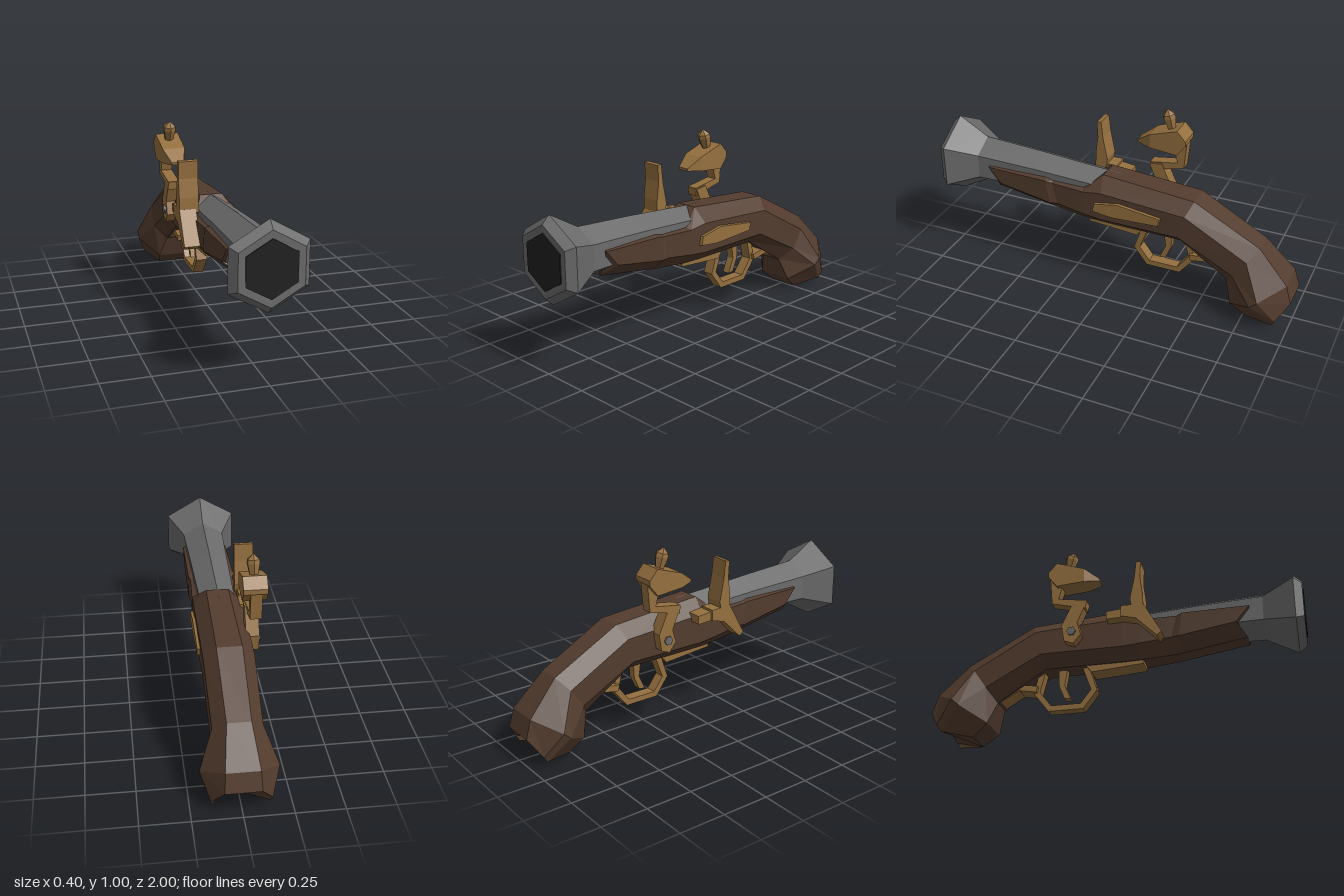
import * as THREE from 'three';

const mat = (color, side = THREE.FrontSide) =>
  new THREE.MeshStandardMaterial({ color, flatShading: true, side });
const wood = mat(0x533c2e), brass = mat(0x95703f), steel = mat(0x6b6b6b), dark = mat(0x202020);

// Skin rings (counter-clockwise seen from +z, listed front to back) and cap both ends
function loft(rings) {
  const n = rings[0].length, index = [];
  rings.slice(1).forEach((_, r) => {
    for (let i = 0; i < n; i++) {
      const j = (i + 1) % n, a = r * n, b = a + n;
      index.push(a + i, b + i, b + j, a + i, b + j, a + j);
    }
  });
  const last = (rings.length - 1) * n;
  for (let i = 1; i < n - 1; i++) {
    index.push(0, i, i + 1, last, last + i + 1, last + i);
  }
  const geo = new THREE.BufferGeometry();
  geo.setAttribute('position', new THREE.Float32BufferAttribute(rings.flat(2), 3));
  geo.setIndex(index);
  const flat = geo.toNonIndexed();
  flat.computeVertexNormals();
  return flat;
}

// Side outline of [z, y] points, given thickness between x0 and x1
function slab(points, x0, x1) {
  const shape = new THREE.Shape(points.map(([z, y]) => new THREE.Vector2(z, y)));
  return new THREE.ExtrudeGeometry(shape, { depth: x1 - x0, bevelEnabled: false })
    .rotateY(-Math.PI / 2).translate(x1, 0, 0);
}

// Flat bar of constant thickness following a [z, y] path
function bar(path, thick, x0, x1) {
  const p = path.map(([z, y]) => new THREE.Vector2(z, y));
  const left = [], right = [];
  p.forEach((v, i) => {
    const d0 = v.clone().sub(p[Math.max(i - 1, 0)]).normalize();
    const d1 = p[Math.min(i + 1, p.length - 1)].clone().sub(v).normalize();
    const t = d0.add(d1).normalize();
    left.push([v.x - t.y * thick / 2, v.y + t.x * thick / 2]);
    right.unshift([v.x + t.y * thick / 2, v.y - t.x * thick / 2]);
  });
  return slab([...left, ...right], x0, x1);
}

export function createModel() {
  const group = new THREE.Group();
  const add = (name, geo, material) => {
    const mesh = new THREE.Mesh(geo, material);
    mesh.name = name;
    group.add(mesh);
    return mesh;
  };

  // Stock: eight-sided sections, each as top, upper, lower, bottom [z, y, half width]
  const stock = [
    [[0.72, 0.592, 0.1], [0.72, 0.585, 0.125], [0.65, 0.5, 0.125], [0.7, 0.44, 0.05]],
    [[0.38, 0.59, 0.1], [0.37, 0.58, 0.128], [0.35, 0.45, 0.128], [0.36, 0.385, 0.05]],
    [[0.34, 0.578, 0.1], [0.34, 0.57, 0.118], [0.31, 0.45, 0.118], [0.33, 0.38, 0.05]],
    [[0.16, 0.575, 0.1], [0.15, 0.565, 0.128], [0.15, 0.43, 0.128], [0.15, 0.365, 0.06]],
    [[0.06, 0.655, 0.06], [0.05, 0.58, 0.13], [0.05, 0.42, 0.13], [0.05, 0.362, 0.06]],
    [[-0.45, 0.615, 0.065], [-0.42, 0.55, 0.13], [-0.39, 0.42, 0.13], [-0.38, 0.36, 0.06]],
    [[-0.81, 0.42, 0.06], [-0.76, 0.36, 0.125], [-0.69, 0.26, 0.125], [-0.64, 0.19, 0.06]],
    [[-0.97, 0.25, 0.085], [-0.85, 0.18, 0.196], [-0.81, 0.145, 0.196], [-0.68, 0.068, 0.1]],
    [[-1, 0.15, 0.09], [-0.94, 0.06, 0.15], [-0.92, 0.025, 0.14], [-0.76, 0, 0.08]],
  ];
  add('stock', loft(stock.map((levels) => [
    ...[...levels].reverse().map(([z, y, w]) => [w, y, z]),
    ...levels.map(([z, y, w]) => [-w, y, z]),
  ])), wood);

  // Barrel: hexagons with a corner on top, flared at the muzzle
  const hexagon = (z, y, r) => Array.from({ length: 6 }, (_, i) => {
    const a = Math.PI / 6 + i * Math.PI / 3;
    return [r * Math.cos(a), y + r * Math.sin(a), z];
  });
  add('barrel', loft([
    [0.995, 0.57, 0.145], [0.997, 0.57, 0.185], [0.955, 0.57, 0.225], [0.79, 0.568, 0.132],
    [0.45, 0.562, 0.12], [0.15, 0.55, 0.111], [-0.02, 0.54, 0.11],
  ].map((s) => hexagon(...s))), steel);
  add('bore', loft([hexagon(1, 0.57, 0.145), hexagon(0.99, 0.57, 0.145)]), dark);

  // Side plate on the left, with a narrower outer face
  const plate = [[0.1, 0.465], [0.09, 0.52], [-0.05, 0.55], [-0.3, 0.515], [-0.29, 0.465], [-0.02, 0.45]];
  const plateGeo = slab(plate, 0.1, 0.145);
  const pos = plateGeo.attributes.position;
  for (let i = 0; i < pos.count; i++) {
    if (pos.getX(i) > 0.12) {
      pos.setY(i, 0.5 + (pos.getY(i) - 0.5) * 0.85);
      pos.setZ(i, -0.1 + (pos.getZ(i) + 0.1) * 0.95);
    }
  }
  plateGeo.computeVertexNormals();
  add('sidePlate', plateGeo, brass);

  // Lock on the right: pan with its sloping spring, upright striking plate
  add('pan', slab([[-0.02, 0.6], [-0.02, 0.555], [0.09, 0.56], [0.16, 0.62], [0.08, 0.61]], -0.19, -0.11), brass);
  add('spring', slab([[0.06, 0.62], [0.06, 0.56], [0.14, 0.54], [0.25, 0.43], [0.275, 0.45], [0.18, 0.62]], -0.203, -0.115), brass);
  add('strikingPlate', slab([[0.17, 0.87], [0.145, 0.873], [0.135, 0.78], [0.11, 0.655], [0.12, 0.6], [0.18, 0.6], [0.178, 0.68], [0.165, 0.78]], -0.203, -0.1), brass);

  // Hammer: curved arm, jaw tapering to the front, clamp screw and pivot
  add('hammerArm', slab([
    [-0.335, 0.85], [-0.32, 0.685], [-0.2, 0.65], [-0.18, 0.59], [-0.16, 0.5], [-0.2, 0.45],
    [-0.25, 0.46], [-0.26, 0.53], [-0.2, 0.6], [-0.135, 0.64], [-0.13, 0.685], [-0.285, 0.71], [-0.26, 0.8],
  ].filter((_, i) => i < 2 || i > 8).concat([]), -0.18, -0.12), brass);
  add('hammerBase', slab([
    [-0.13, 0.68], [-0.2, 0.69], [-0.265, 0.55], [-0.25, 0.46], [-0.2, 0.44], [-0.16, 0.49], [-0.18, 0.56],
  ], -0.18, -0.11), brass);
  const jawRing = (z, low, high, w) =>
    [[w, low], [w, high], [-w, high], [-w, low]].map(([x, y]) => [x - 0.145, y, z]);
  add('hammerJaw', loft([
    jawRing(-0.06, 0.795, 0.808, 0.032), jawRing(-0.14, 0.787, 0.865, 0.06),
    jawRing(-0.29, 0.775, 0.915, 0.062), jawRing(-0.337, 0.835, 0.862, 0.062),
  ]), brass);
  const screw = add('clampScrew', new THREE.LatheGeometry(
    [[0, 0], [0.02, 0], [0.036, 0.075], [0.034, 0.095], [0, 0.125]].map(([r, y]) => new THREE.Vector2(r, y)), 6), brass);
  screw.position.set(-0.147, 0.879, -0.243);
  screw.rotation.x = 0.26;
  const pivot = add('pivot', new THREE.CylinderGeometry(0.025, 0.025, 0.02, 6), steel);
  pivot.rotation.z = Math.PI / 2;
  pivot.position.set(-0.18, 0.51, -0.21);

  // Trigger and its guard under the stock
  add('guardFront', slab([[0.15, 0.375], [0.15, 0.345], [-0.13, 0.323], [-0.17, 0.375]], -0.055, 0.055), brass);
  add('guardLoop', bar([
    [-0.17, 0.37], [-0.122, 0.232], [-0.187, 0.146], [-0.362, 0.146], [-0.435, 0.24], [-0.405, 0.37],
  ], 0.034, -0.03, 0.03), brass);
  add('guardTail', bar([[-0.43, 0.255], [-0.53, 0.272], [-0.65, 0.205]], 0.034, -0.05, 0.05), brass);
  add('trigger', slab([
    [-0.27, 0.37], [-0.32, 0.37], [-0.315, 0.27], [-0.285, 0.2], [-0.25, 0.195], [-0.285, 0.275],
  ], -0.022, 0.022), brass);

  return group;
}
